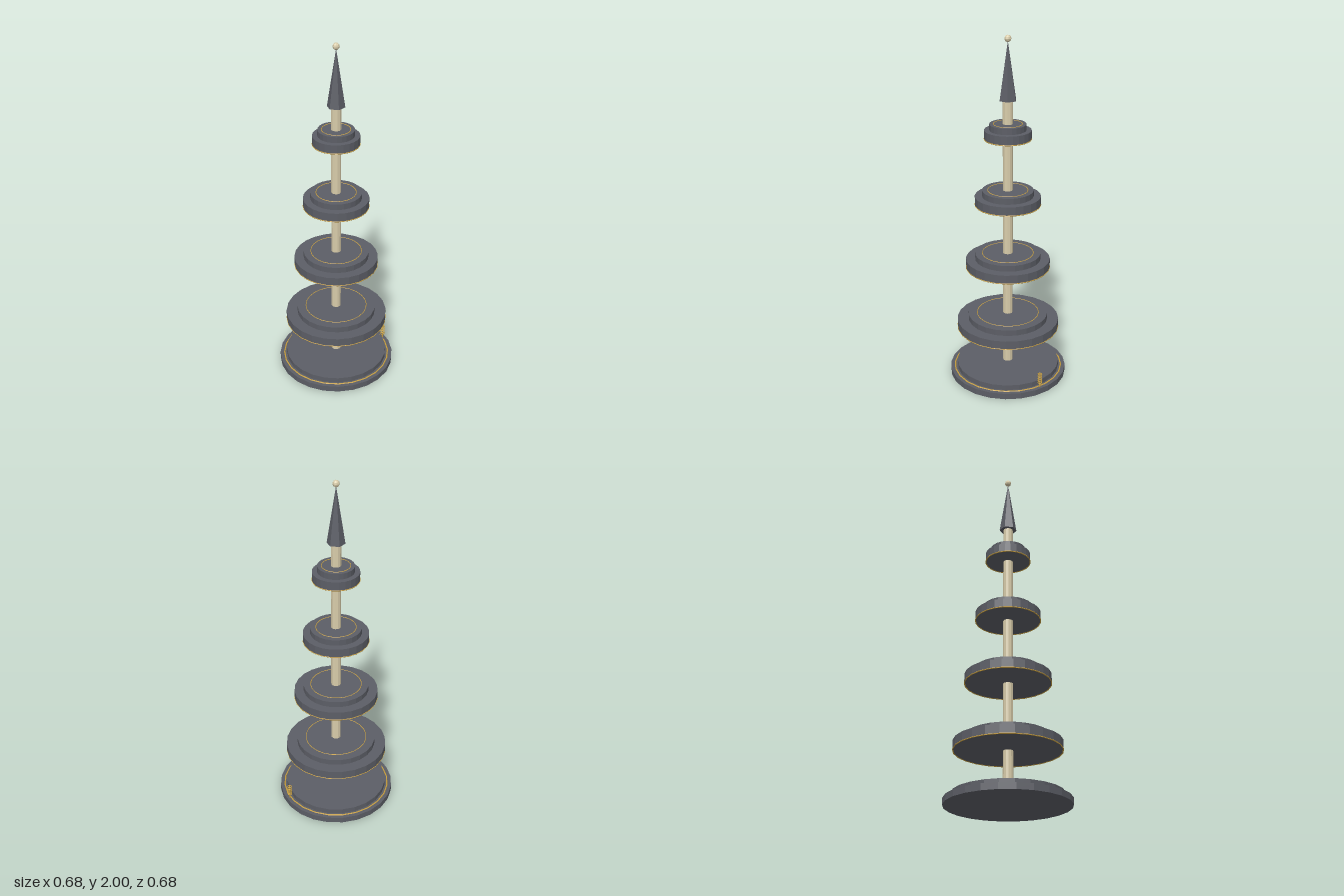
import * as THREE from 'three';

export function createModel() {
  const model = new THREE.Group();
  const mat = (name, color) => {
    const m = new THREE.MeshStandardMaterial({ color, flatShading: true });
    m.name = name;
    return m;
  };
  const slate = mat('slate', 0x5c5e66);
  const cream = mat('cream', 0xd8ccaa);
  const gold = mat('gold', 0xc9a040);

  const add = (name, geometry, material, x, y, z, parent = model) => {
    const mesh = new THREE.Mesh(geometry, material);
    mesh.name = name;
    mesh.position.set(x, y, z);
    parent.add(mesh);
    return mesh;
  };
  // Cylinder standing on y
  const disc = (name, r, y, h, sides, material, parent, x = 0, z = 0) =>
    add(name, new THREE.CylinderGeometry(r, r, h, sides), material, x, y + h / 2, z, parent);
  // Flat-lying ring
  const ring = (name, r, tube, y, sides, parent, x = 0, z = 0) =>
    add(name, new THREE.TorusGeometry(r, tube, 6, sides).rotateX(Math.PI / 2), gold, x, y, z, parent);

  // Stepped base with inlaid ring
  const base = new THREE.Group();
  base.name = 'base';
  model.add(base);
  disc('baseLower', 0.34, 0, 0.035, 24, slate, base);
  disc('baseUpper', 0.3, 0.035, 0.03, 24, slate, base);
  ring('baseRing', 0.315, 0.004, 0.035, 24, base);

  // Central pole
  disc('pole', 0.028, 0.065, 1.587, 12, cream, model);

  // Four shrinking tiers, each with a raised step and two trim rings
  for (let i = 0; i < 4; i++) {
    const tier = new THREE.Group();
    tier.name = 'tier' + (i + 1);
    tier.position.y = 0.296 + i * 0.38;
    model.add(tier);
    const r = 0.295 - i * 0.055, step = r * 0.78;
    disc('tierPlate', r, 0, 0.05, 24, slate, tier);
    disc('tierStep', step, 0.05, 0.034, 24, slate, tier);
    ring('edgeRing', r - 0.001, 0.003, 0, 24, tier);
    ring('topRing', step * 0.78, 0.002, 0.084, 24, tier);
  }

  // Hexagonal spire and ball finial
  add('spire', new THREE.ConeGeometry(0.05, 0.32, 6), slate, 0, 1.81, 0);
  add('finial', new THREE.SphereGeometry(0.019, 8, 6), cream, 0, 1.981, 0);

  // Small ringed pin on the rim of the base
  const pin = new THREE.Group();
  pin.name = 'pin';
  pin.position.set(0.122, 0.035, -0.295);
  model.add(pin);
  disc('pinRod', 0.004, 0, 0.092, 6, gold, pin);
  for (let i = 0; i < 5; i++) ring('pinRing', 0.011, 0.0025, 0.026 + i * 0.014, 10, pin);

  return model;
}
